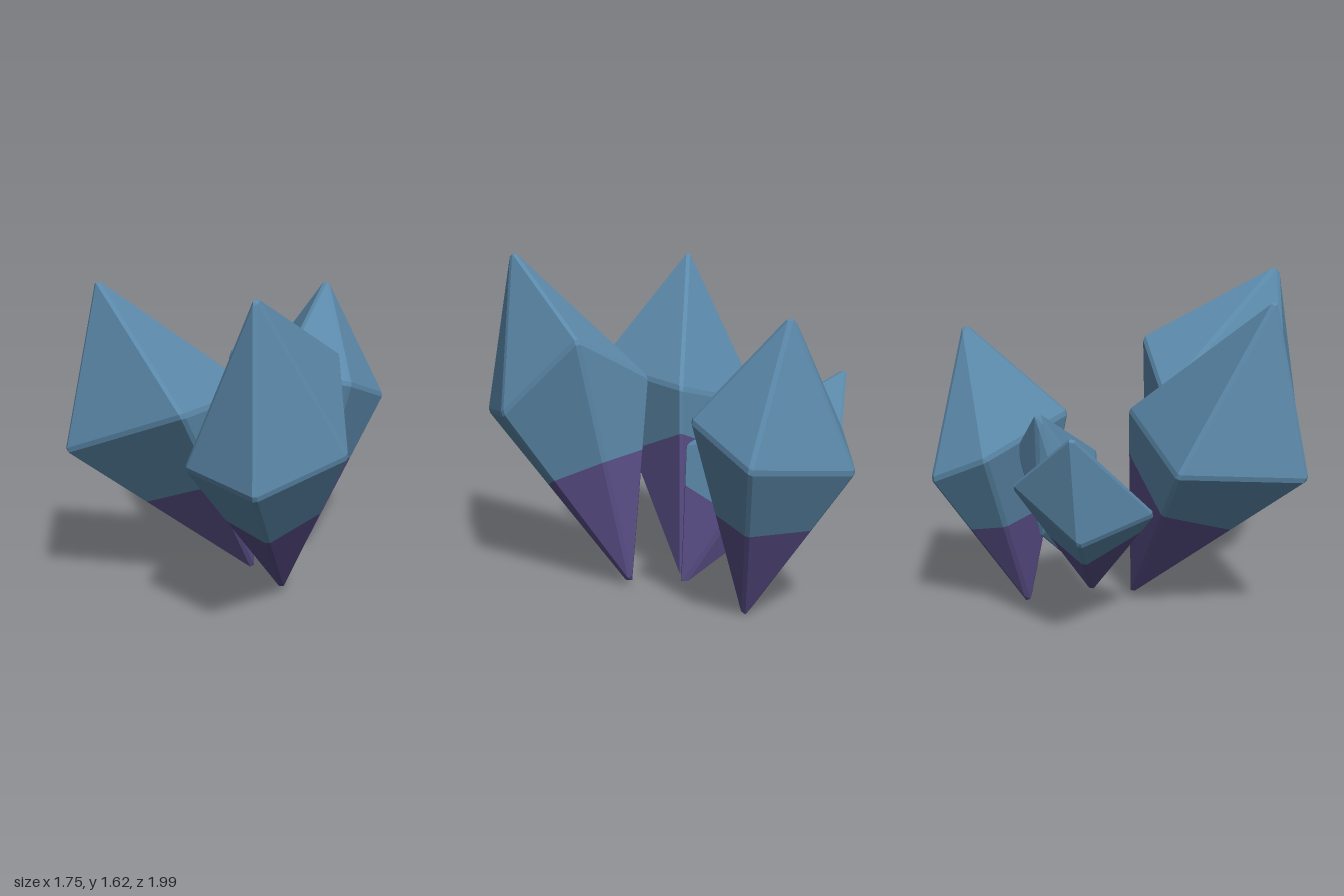
import * as THREE from 'three';
import { ConvexGeometry } from 'three/addons/geometries/ConvexGeometry.js';

const V = (p) => new THREE.Vector3(...p);
const BEVEL = 0.014;

// Each crystal: top tip, bottom tip, ring of girdle corners, dyed fraction of its axis
const CRYSTALS = [
  { name: 'frontCrystal', top: [-0.07, 1.62, 0.83], bottom: [0.18, 0.04, 0.15], dyed: 0.335,
    ring: [[-0.1, 0.8, 0.99], [0.36, 0.89, 0.73], [0.4, 1.26, 0.33], [0.02, 1.04, 0.1], [-0.35, 0.83, 0.61]] },
  { name: 'rightCrystal', top: [-0.7, 1.59, 0.07], bottom: [0.06, 0.05, -0.09], dyed: 0.37,
    ring: [[-0.87, 0.79, 0.12], [-0.35, 1.03, 0.46], [0.07, 1.0, -0.09], [-0.52, 0.83, -0.36]] },
  { name: 'leftCrystal', top: [0.57, 1.42, -0.71], bottom: [0.42, 0.02, -0.49], dyed: 0.335,
    ring: [[0.87, 0.81, -0.6], [0.61, 0.96, -0.28], [0.25, 1.0, -0.36], [0.21, 0.87, -0.89], [0.49, 0.74, -0.99]] },
  { name: 'backCrystal', top: [-0.33, 1.05, -0.83], bottom: [0.09, 0.13, -0.35], dyed: 0.37,
    ring: [[-0.32, 0.6, -0.33], [0.0, 0.8, -0.4], [0.04, 0.77, -0.86], [-0.32, 0.56, -0.79]] },
  { name: 'middleCrystal', top: [0.05, 1.06, -0.7], bottom: [0.29, 0.11, -0.18], dyed: 0.35,
    ring: [[0.25, 0.77, -0.18], [0.25, 0.87, -0.66], [0.1, 0.5, -0.66], [-0.01, 0.7, -0.62], [-0.02, 0.64, -0.41]] },
];

// Inset every face by the bevel width; returns the inset corners grouped by vertex
function insetCorners(points, faces) {
  const groups = points.map(() => []);
  for (const face of faces) {
    const [a, b, c] = face.map((i) => points[i]);
    const la = b.distanceTo(c), lb = c.distanceTo(a), lc = a.distanceTo(b);
    const perimeter = la + lb + lc;
    const centre = new THREE.Vector3()
      .addScaledVector(a, la / perimeter).addScaledVector(b, lb / perimeter).addScaledVector(c, lc / perimeter);
    const radius = new THREE.Triangle(a, b, c).getArea() * 2 / perimeter;
    for (const i of face) groups[i].push(points[i].clone().lerp(centre, BEVEL / radius));
  }
  return groups;
}

// Double pyramid with bevelled edges and blunted tips
function crystalGeometry({ top, bottom, ring }) {
  const points = [top, bottom, ...ring].map(V);
  const faces = [];
  ring.forEach((_, i) => {
    const a = 2 + i, b = 2 + (i + 1) % ring.length;
    faces.push([0, a, b], [1, b, a]);
  });
  // push corners out first, so that the bevels end where the corners were
  const grown = insetCorners(points, faces).map((group, i) => {
    const mean = new THREE.Vector3();
    group.forEach((p) => mean.addScaledVector(p, 1 / group.length));
    return points[i].clone().multiplyScalar(2).sub(mean);
  });
  return new ConvexGeometry(insetCorners(grown, faces).flat());
}

// Keep the part of a triangle mesh on the positive side of a plane
function clip(geometry, plane) {
  const pos = geometry.getAttribute('position');
  const out = [];
  for (let i = 0; i < pos.count; i += 3) {
    const tri = [0, 1, 2].map((k) => new THREE.Vector3().fromBufferAttribute(pos, i + k));
    const poly = [];
    tri.forEach((p, k) => {
      const q = tri[(k + 1) % 3];
      const dp = plane.distanceToPoint(p), dq = plane.distanceToPoint(q);
      if (dp >= 0) poly.push(p);
      if (dp * dq < 0) poly.push(p.clone().lerp(q, dp / (dp - dq)));
    });
    for (let k = 1; k + 1 < poly.length; k++) {
      for (const p of [poly[0], poly[k], poly[k + 1]]) out.push(p.x, p.y, p.z);
    }
  }
  const part = new THREE.BufferGeometry();
  part.setAttribute('position', new THREE.Float32BufferAttribute(out, 3));
  part.computeVertexNormals();
  return part;
}

export function createModel() {
  const blue = new THREE.MeshStandardMaterial({ color: 0x5c8aab });
  blue.name = 'crystalBlue';
  const purple = new THREE.MeshStandardMaterial({ color: 0x5b5089 });
  purple.name = 'rootPurple';

  const model = new THREE.Group();
  model.name = 'crystalCluster';
  for (const crystal of CRYSTALS) {
    const geometry = crystalGeometry(crystal);
    const bottom = V(crystal.bottom), top = V(crystal.top);
    // colour boundary lies square to the crystal's axis
    const plane = new THREE.Plane().setFromNormalAndCoplanarPoint(
      top.clone().sub(bottom).normalize(), bottom.clone().lerp(top, crystal.dyed));
    const body = new THREE.Mesh(clip(geometry, plane), blue);
    body.name = 'crystalBody';
    const root = new THREE.Mesh(clip(geometry, plane.clone().negate()), purple);
    root.name = 'crystalRoot';
    const group = new THREE.Group();
    group.name = crystal.name;
    group.add(body, root);
    model.add(group);
  }
  // stand the cluster on the ground
  model.position.y = -new THREE.Box3().setFromObject(model).min.y;
  return model;
}
